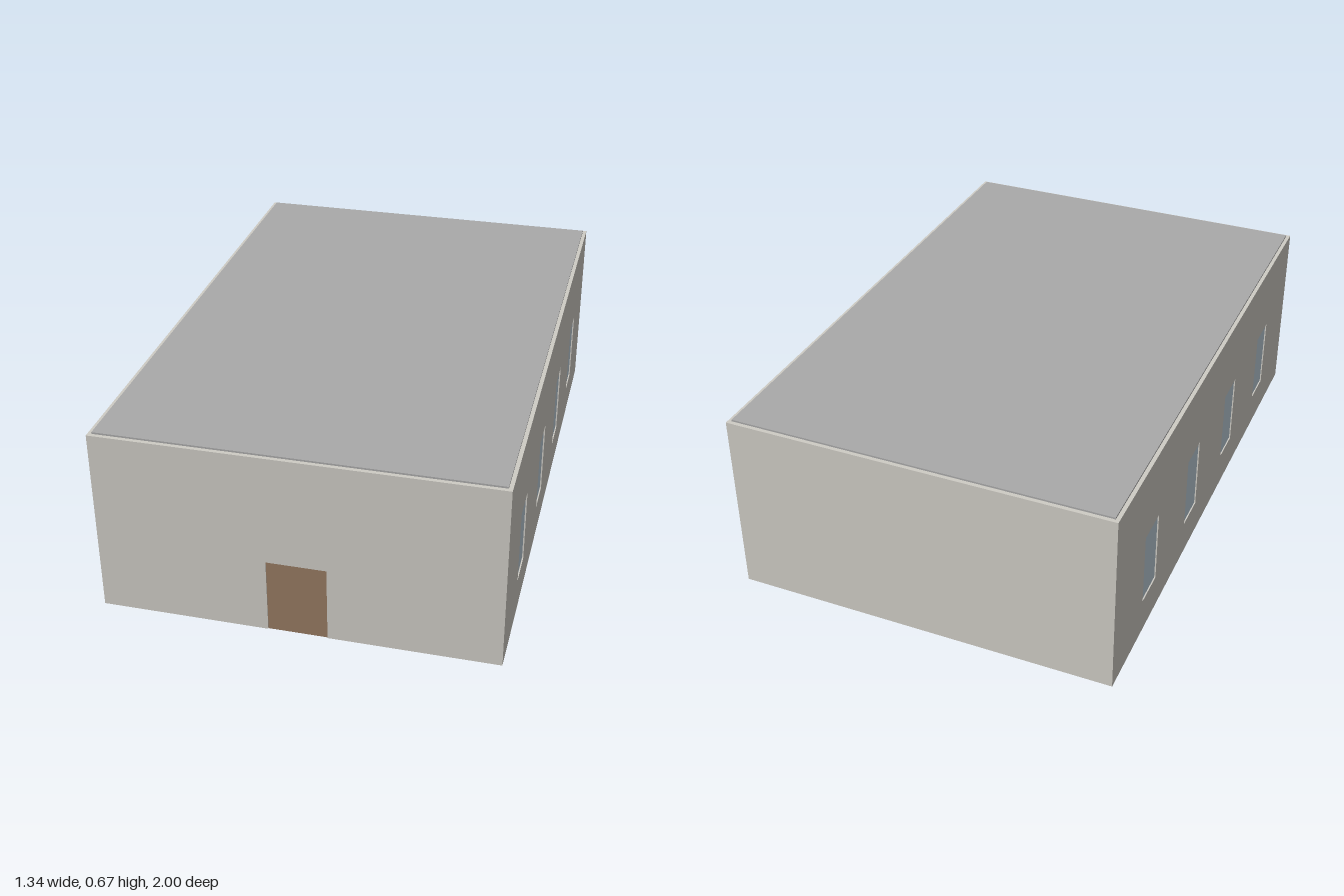
import * as THREE from 'three';

const W = 0.67, L = 1, T = 0.0135;   // half width, half length, wall thickness
const Y0 = 0.0067, Y1 = 0.661;       // foot and top of the walls
const TOP = 0.667, SLAB = 0.0133;
const DOOR_W = 0.1, DOOR_TOP = 0.273;
const WIN = { w: 0.13, y0: 0.137, y1: 0.4, z: [-0.66, -0.22, 0.22, 0.66] };

const mat = (color) => new THREE.MeshStandardMaterial({ color });

function add(parent, name, geometry, material, x = 0, y = 0, z = 0) {
  const mesh = new THREE.Mesh(geometry, material);
  mesh.name = name;
  mesh.position.set(x, y, z);
  parent.add(mesh);
  return mesh;
}

function polygon(points, Kind = THREE.Shape) {
  return new Kind(points.map(([x, y]) => new THREE.Vector2(x, y)));
}

// Panel whose outer face lies at local z = 0, thickness going inward
function panel(shape) {
  return new THREE.ExtrudeGeometry(shape, { depth: T, bevelEnabled: false }).translate(0, 0, -T);
}

export function createModel() {
  const model = new THREE.Group();
  model.name = 'building';
  const wall = mat(0xcfccc5), roof = mat(0xaaaaaa), floor = mat(0x555355);
  const wood = mat(0x967a62), glass = mat(0xbccdd8);

  // Floor and roof slabs set between the walls
  const slab = new THREE.BoxGeometry(2 * (W - T), SLAB, 2 * (L - T));
  add(model, 'floorSlab', slab, floor, 0, SLAB / 2, 0);
  add(model, 'roofSlab', slab, roof, 0, TOP - SLAB / 2, 0);

  // Front wall with a doorway, plain back wall
  const e = W - T;
  const front = polygon([
    [-e, Y0], [-DOOR_W, Y0], [-DOOR_W, DOOR_TOP], [DOOR_W, DOOR_TOP],
    [DOOR_W, Y0], [e, Y0], [e, Y1], [-e, Y1],
  ]);
  add(model, 'frontWall', panel(front), wall, 0, 0, L);
  const back = polygon([[-e, Y0], [e, Y0], [e, Y1], [-e, Y1]]);
  add(model, 'backWall', panel(back), wall, 0, 0, -L).rotation.y = Math.PI;

  // Door, slightly recessed
  const doorH = DOOR_TOP - Y0;
  add(model, 'door', new THREE.BoxGeometry(2 * DOOR_W, doorH, T / 2), wood,
    0, Y0 + doorH / 2, L - T / 2);

  // Side walls, each with four recessed windows
  for (const side of [1, -1]) {
    const group = new THREE.Group();
    group.name = side > 0 ? 'leftSide' : 'rightSide';
    group.position.x = side * W;
    group.rotation.y = side * Math.PI / 2;
    const shape = polygon([[-L, Y0], [L, Y0], [L, Y1], [-L, Y1]]);
    const winH = WIN.y1 - WIN.y0, hw = WIN.w / 2;
    for (const c of WIN.z) {
      shape.holes.push(polygon([
        [c - hw, WIN.y0], [c - hw, WIN.y1], [c + hw, WIN.y1], [c + hw, WIN.y0],
      ], THREE.Path));
      add(group, 'window', new THREE.BoxGeometry(WIN.w, winH, T / 3), glass,
        c, WIN.y0 + winH / 2, -T / 2);
    }
    add(group, 'sideWall', panel(shape), wall);
    model.add(group);
  }
  return model;
}
